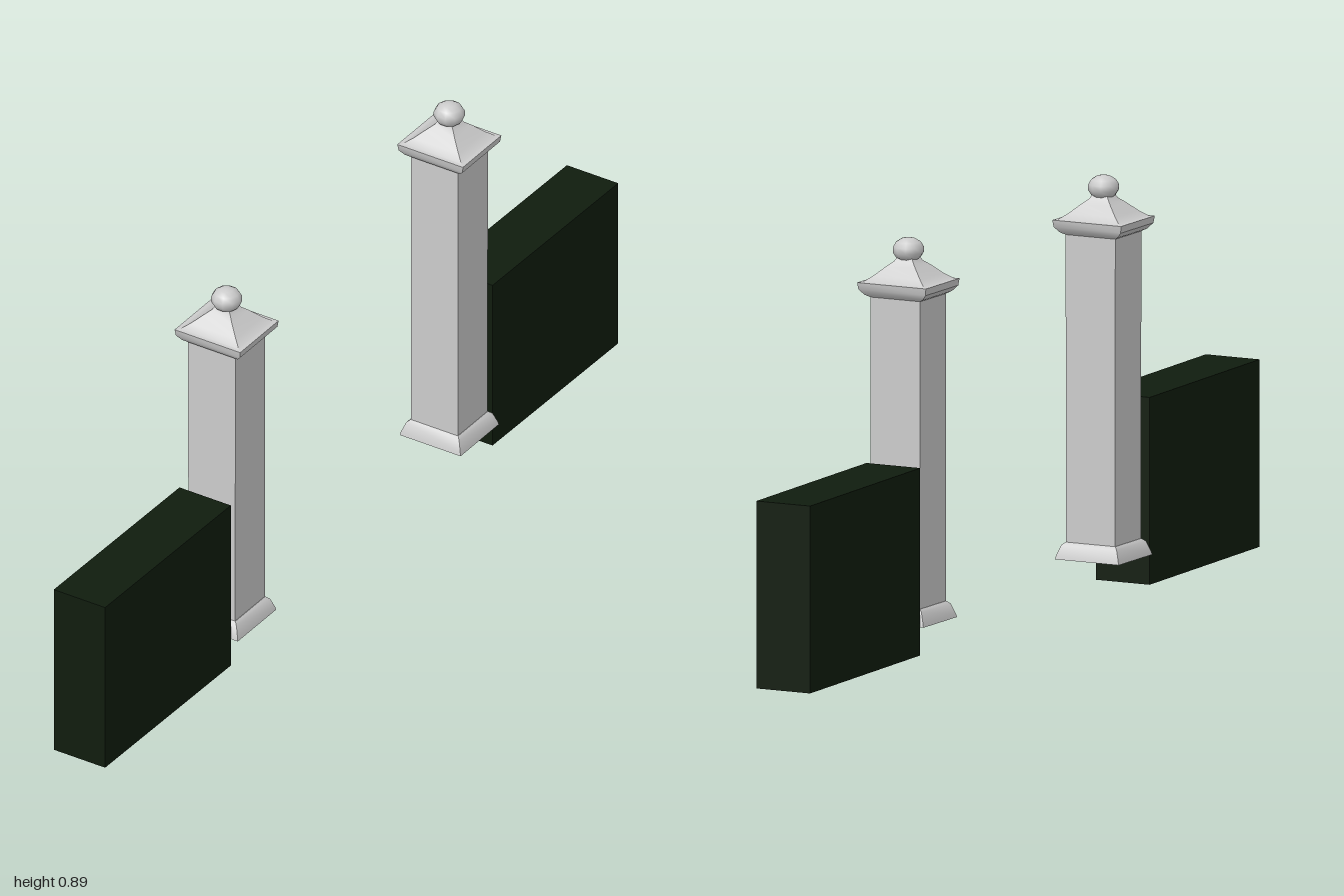
import * as THREE from 'three';
import { toCreasedNormals } from 'three/addons/utils/BufferGeometryUtils.js';

const stone = new THREE.MeshStandardMaterial({ color: 0xcccccc });
const green = new THREE.MeshStandardMaterial({ color: 0x101c0e });

// Closed loft of rectangular sections, each [half width x, half depth z, y]
function rectLoft(sections) {
  const pts = sections.map(([hx, , y]) => new THREE.Vector2(hx * Math.SQRT2, y));
  const geo = new THREE.LatheGeometry(pts, 4).rotateY(Math.PI / 4);
  const pos = geo.attributes.position;
  for (let i = 0; i < pos.count; i++) {
    const [hx, hz] = sections[i % sections.length];
    if (hx > 0) pos.setZ(i, pos.getZ(i) * hz / hx);
  }
  return toCreasedNormals(geo, 0.6);
}

function addMesh(parent, name, geo, mat) {
  const mesh = new THREE.Mesh(geo, mat);
  mesh.name = name;
  parent.add(mesh);
  return mesh;
}

function createPillar() {
  const pillar = new THREE.Group();

  // Flared foot
  addMesh(pillar, 'base', rectLoft([
    [0, 0, 0.066], [0.077, 0.075, 0.066], [0.075, 0.073, 0.074],
    [0.067, 0.065, 0.096], [0.06, 0.058, 0.102], [0, 0, 0.102],
  ]), stone);

  // Plain square shaft
  addMesh(pillar, 'shaft', rectLoft([
    [0, 0, 0.09], [0.059, 0.058, 0.09], [0.06, 0.058, 0.775], [0, 0, 0.775],
  ]), stone);

  // Moulded cap with a concave pyramid roof
  addMesh(pillar, 'cap', rectLoft([
    [0, 0, 0.765], [0.06, 0.058, 0.765], [0.07, 0.065, 0.77], [0.081, 0.073, 0.782],
    [0.083, 0.075, 0.797], [0.074, 0.067, 0.798], [0.057, 0.052, 0.81],
    [0.036, 0.034, 0.829], [0.023, 0.021, 0.84], [0.017, 0.017, 0.85], [0, 0, 0.85],
  ]), stone);

  // Round finial
  const ball = addMesh(pillar, 'finial', new THREE.SphereGeometry(0.034, 10, 7), stone);
  ball.scale.y = 0.78;
  ball.position.y = 0.864;
  return pillar;
}

// Solid hedge block whose top and bottom rise slightly towards +z
function hedgeGeometry() {
  const geo = new THREE.BoxGeometry(0.13, 0.404, 0.49);
  const pos = geo.attributes.position;
  for (let i = 0; i < pos.count; i++) {
    pos.setY(i, pos.getY(i) + 0.202 + (pos.getZ(i) > 0 ? 0.006 : 0));
  }
  geo.computeVertexNormals();
  return geo;
}

export function createModel() {
  const model = new THREE.Group();
  model.name = 'gateway';
  for (const [side, label] of [[1, 'front'], [-1, 'back']]) {
    const pillar = createPillar();
    pillar.name = label + 'Pillar';
    pillar.position.z = side * 0.434;
    model.add(pillar);

    const hedge = addMesh(model, label + 'Hedge', hedgeGeometry(), green);
    hedge.position.set(-0.005, 0, side * 0.755);
  }
  return model;
}
